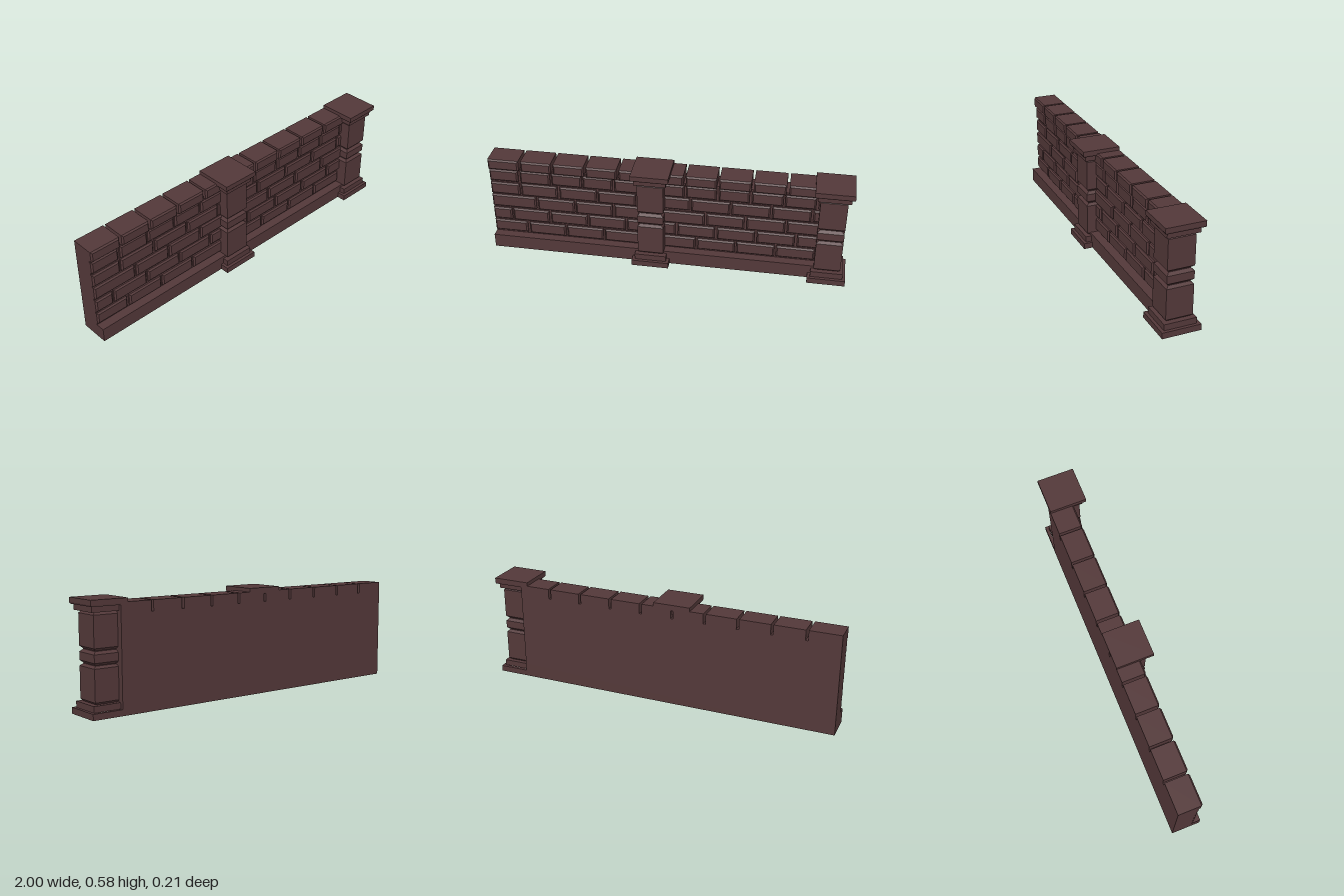
import * as THREE from 'three';

const stone = new THREE.MeshStandardMaterial({ color: 0x533839 });
stone.name = 'dark red stone';

// Solid through rectangular sections [a0, a1, b0, b1, c], stacked along z
function loft(sections) {
  const rings = sections.map(([a0, a1, b0, b1, c]) => [[a0, b0, c], [a1, b0, c], [a1, b1, c], [a0, b1, c]]);
  const pos = [];
  const quad = (p, q, r, s) => pos.push(...p, ...q, ...r, ...p, ...r, ...s);
  for (let k = 0; k + 1 < rings.length; k++) {
    for (let i = 0; i < 4; i++) {
      const j = (i + 1) % 4;
      quad(rings[k][i], rings[k][j], rings[k + 1][j], rings[k + 1][i]);
    }
  }
  const first = rings[0], last = rings[rings.length - 1];
  quad(first[3], first[2], first[1], first[0]);
  quad(last[0], last[1], last[2], last[3]);
  const geo = new THREE.BufferGeometry();
  geo.setAttribute('position', new THREE.Float32BufferAttribute(pos, 3));
  geo.computeVertexNormals();
  return geo;
}

function add(parent, name, geo) {
  const mesh = new THREE.Mesh(geo, stone);
  mesh.name = name;
  parent.add(mesh);
  return mesh;
}

function box(x0, x1, y0, y1, z0, z1) {
  return new THREE.BoxGeometry(x1 - x0, y1 - y0, z1 - z0)
    .translate((x0 + x1) / 2, (y0 + y1) / 2, (z0 + z1) / 2);
}

// Hollow plinth, open above and below
function plinth(x0, x1, z0, z1, y0, y1, t) {
  const rect = (Kind, d) => new Kind([
    new THREE.Vector2(x0 + d, -z1 + d), new THREE.Vector2(x1 - d, -z1 + d),
    new THREE.Vector2(x1 - d, -z0 - d), new THREE.Vector2(x0 + d, -z0 - d),
  ]);
  const shape = rect(THREE.Shape, 0);
  shape.holes.push(rect(THREE.Path, t));
  return new THREE.ExtrudeGeometry(shape, { depth: y1 - y0, bevelEnabled: false })
    .rotateX(-Math.PI / 2).translate(0, y0, 0);
}

// Brick with bevelled front edges
function brick(x0, x1, y0, y1, z0, z1, b) {
  return loft([[x0, x1, y0, y1, z0], [x0, x1, y0, y1, z1 - b], [x0 + b, x1 - b, y0 + b, y1 - b, z1]]);
}

let seed = 7;
const jitter = (size) => {
  seed = (seed * 16807) % 2147483647;
  return (seed / 2147483647 - 0.5) * size;
};

function makeColumn(name, cx) {
  const g = new THREE.Group();
  g.name = name;
  g.position.x = cx;
  // Stepped hollow foot
  add(g, 'footSlab', plinth(-0.104, 0.104, -0.105, 0.105, 0, 0.033, 0.018));
  add(g, 'footStep', plinth(-0.088, 0.088, -0.086, 0.088, 0.033, 0.066, 0.03));
  // Shaft with two grooves round its middle block
  const full = 0.072, inset = 0.058;
  const profile = [
    [inset, 0.064], [full, 0.078], [full, 0.245], [inset, 0.257], [inset, 0.26], [full, 0.273],
    [full, 0.315], [inset, 0.329], [inset, 0.332], [full, 0.345], [full, 0.508], [inset, 0.523],
  ];
  add(g, 'shaft', loft(profile.map(([r, y]) => [-r, r, -r - 0.001, r, y])).rotateX(-Math.PI / 2));
  // Stepped capital
  add(g, 'neck', box(-0.088, 0.088, 0.522, 0.552, -0.086, 0.088));
  add(g, 'capital', loft([
    [-0.1, 0.1, -0.1, 0.104, 0.552], [-0.104, 0.104, -0.105, 0.105, 0.56], [-0.104, 0.104, -0.105, 0.105, 0.585],
  ]).rotateX(-Math.PI / 2));
  return g;
}

export function createModel() {
  const model = new THREE.Group();
  model.name = 'brickWall';
  const back = -0.105, left = -1, right = 0.833;

  // Wall core and hollow base
  add(model, 'wallCore', box(left, right, 0.07, 0.508, back, 0.004));
  add(model, 'wallBase', plinth(left, right, back, 0.055, 0, 0.08, 0.004));
  add(model, 'baseLedge', box(left, right, 0.074, 0.08, back, 0.055));

  // Brick courses: bottom, top, brick length, first joint of each panel
  const courses = [
    [0.09, 0.162, 0.22, -0.8, 0.165],
    [0.172, 0.246, 0.22, -0.89, 0.055],
    [0.256, 0.331, 0.22, -0.74, 0.215],
    [0.342, 0.415, 0.22, -0.83, 0.13],
    [0.425, 0.498, 0.178, -0.83, 0.1],
  ];
  const panels = [[left, -0.14, 3], [-0.025, right, 4]];
  const bricks = new THREE.Group();
  bricks.name = 'brickCourses';
  model.add(bricks);
  for (const course of courses) {
    const [y0, y1, length] = course;
    for (const [start, end, column] of panels) {
      let x = start;
      let joint = course[column];
      while (x < end - 0.02) {
        const stop = Math.min(joint, end);
        const x0 = x === start ? x : x + 0.006;
        const x1 = stop === end ? stop : stop - 0.006 + jitter(0.006);
        add(bricks, 'brick', brick(x0, x1, y0 + jitter(0.004), y1 + jitter(0.004), -0.02, 0.02 + jitter(0.004), 0.008));
        x = stop;
        joint += length;
      }
    }
  }

  // Coping stones along the top
  const joints = [left, -0.82, -0.637, -0.453, -0.27, -0.085, 0.097, 0.278, 0.463, 0.65, right];
  const coping = new THREE.Group();
  coping.name = 'coping';
  model.add(coping);
  for (let i = 0; i + 1 < joints.length; i++) {
    const x0 = joints[i] + (i ? 0.007 : 0);
    const x1 = joints[i + 1] - (i + 2 < joints.length ? 0.007 : 0);
    add(coping, 'copingStone', brick(x0, x1, 0.503, 0.565, back, 0.03, 0.008));
  }

  // Columns
  model.add(makeColumn('middleColumn', -0.083), makeColumn('endColumn', 0.896));
  return model;
}
